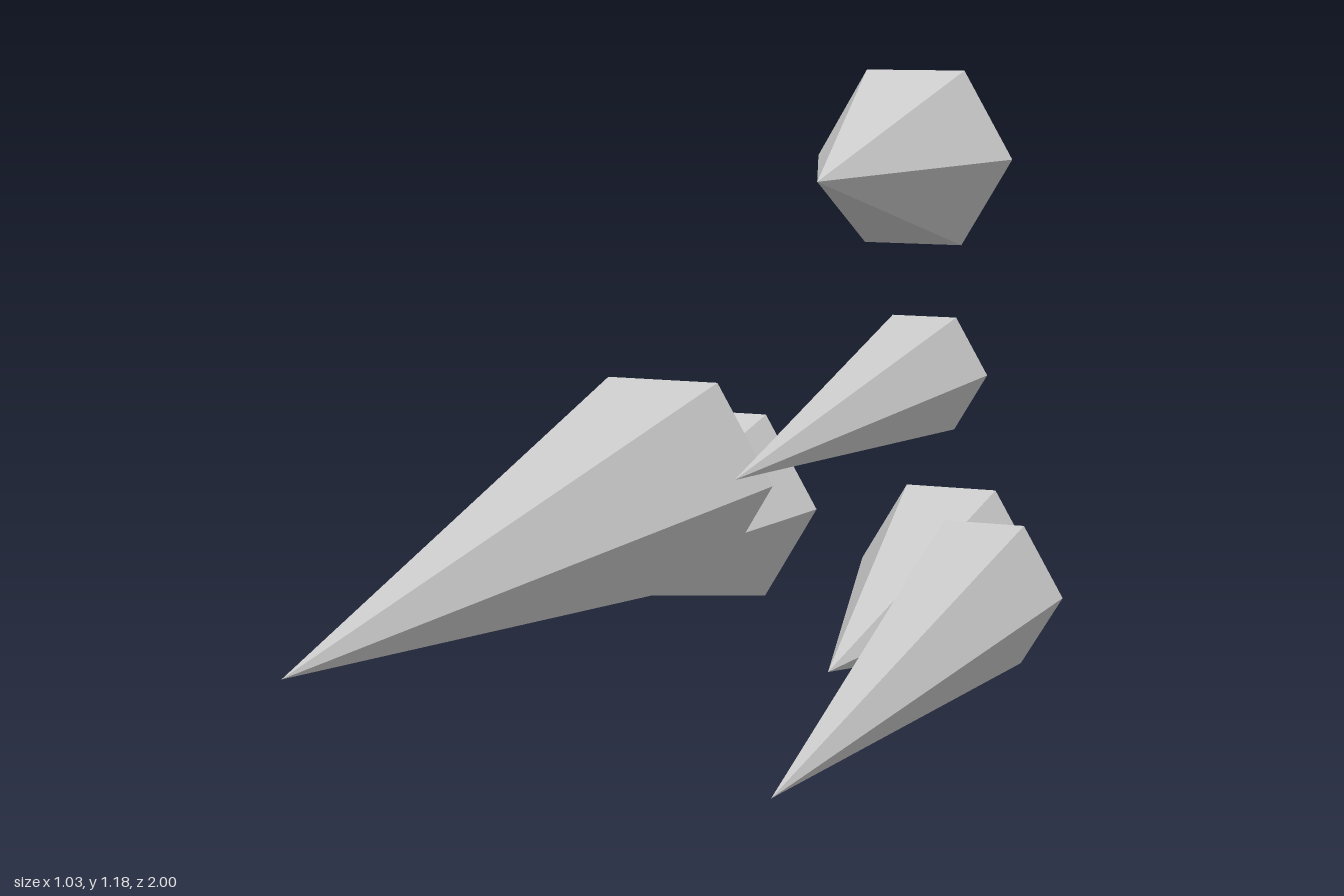
import * as THREE from 'three';

// One six-sided spike: centre x, centre y, radius, base z, tip z
const SPIKES = [
  ['topSpike', 0.113, 0.997, 0.207, -1.0, -0.31],
  ['middleSpike', 0.203, 0.587, 0.13, -0.755, 0.42],
  ['longRightSpike', -0.283, 0.373, 0.232, -0.565, 1.0],
  ['rearRightSpike', -0.29, 0.258, 0.227, -0.905, -0.02],
  ['rearLeftSpike', 0.228, 0.163, 0.188, -0.9, -0.02],
  ['frontLeftSpike', 0.353, 0.169, 0.16, -0.665, 0.69],
];

export function createModel() {
  const group = new THREE.Group();
  group.name = 'spikeCluster';

  const grey = new THREE.MeshStandardMaterial({ color: 0xcccccc, flatShading: true });
  grey.name = 'light grey';

  for (const [name, x, y, radius, base, tip] of SPIKES) {
    // Corners point sideways, apex points forward, base is closed
    const geometry = new THREE.ConeGeometry(radius, tip - base, 6);
    geometry.rotateY(Math.PI / 6).rotateX(Math.PI / 2);
    const spike = new THREE.Mesh(geometry, grey);
    spike.name = name;
    spike.position.set(x, y, (base + tip) / 2);
    group.add(spike);
  }
  return group;
}
